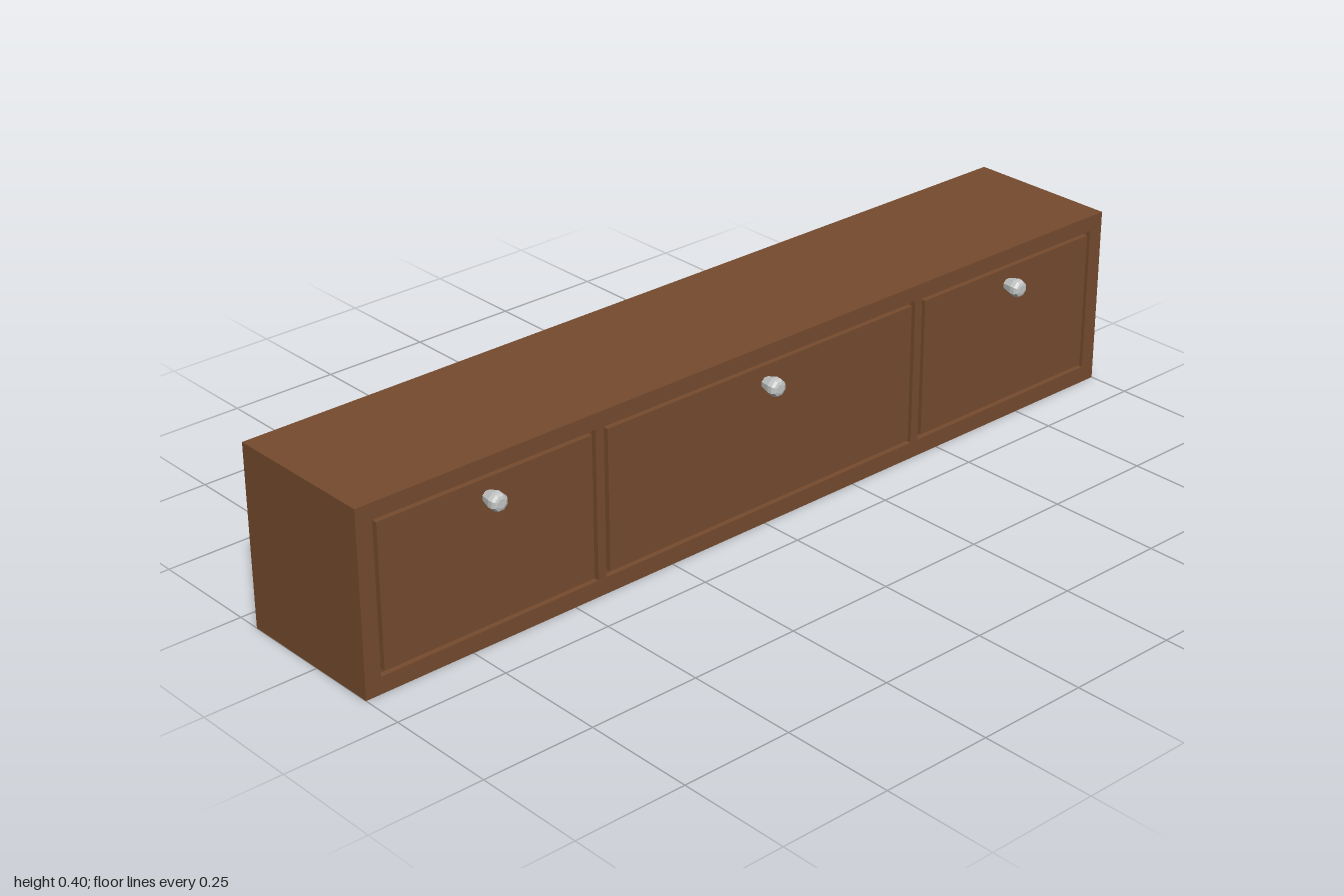
import * as THREE from 'three';

const W = 2, H = 0.4, BACK = -0.196, FRONT = 0.154;
const GAP = 0.009, GROOVE = 0.012; // groove width and depth around each drawer
const Y0 = 0.037, Y1 = 0.366;      // drawer opening, bottom and top
const KNOB_Y = 0.319;

// Box with its +z face left out; inward = true turns it into a recess
function openBox(w, h, d, inward = false) {
  const g = new THREE.BoxGeometry(w, h, d);
  const index = Array.from(g.index.array);
  index.splice(24, 6);
  if (inward) {
    index.reverse();
    const n = g.attributes.normal;
    for (let i = 0; i < n.count; i++) n.setXYZ(i, -n.getX(i), -n.getY(i), -n.getZ(i));
  }
  g.clearGroups();
  g.setIndex(index);
  return g;
}

function rectangle(path, x0, y0, x1, y1) {
  return path.moveTo(x0, y0).lineTo(x1, y0).lineTo(x1, y1).lineTo(x0, y1).closePath();
}

export function createModel() {
  const wood = new THREE.MeshStandardMaterial({ color: 0x754b2e });
  wood.name = 'brown wood';
  const metal = new THREE.MeshStandardMaterial({ color: 0xc6c8c8 });
  metal.name = 'light grey metal';
  metal.flatShading = true;

  const model = new THREE.Group();
  model.name = 'drawerUnit';
  const add = (parent, name, geometry, material, x, y, z) => {
    const mesh = new THREE.Mesh(geometry, material);
    mesh.name = name;
    mesh.position.set(x, y, z);
    parent.add(mesh);
    return mesh;
  };

  // Carcass: back, top, bottom and sides
  add(model, 'carcass', openBox(W, H, FRONT - BACK), wood, 0, H / 2, (FRONT + BACK) / 2);

  // Front frame with three drawer openings
  const face = new THREE.Shape();
  rectangle(face, -W / 2, 0, W / 2, H);
  const drawers = [
    ['rightDrawer', -0.964, -0.442],
    ['middleDrawer', -0.421, 0.421],
    ['leftDrawer', 0.442, 0.964],
  ];
  for (const [, x0, x1] of drawers) face.holes.push(rectangle(new THREE.Path(), x0, Y0, x1, Y1));
  add(model, 'frontFrame', new THREE.ShapeGeometry(face), wood, 0, 0, FRONT);

  // Faceted knob, widest near the tip
  const knob = new THREE.LatheGeometry(
    [[0.013, 0], [0.015, 0.007], [0.02, 0.024], [0.0195, 0.034], [0.016, 0.04], [0.01, 0.042], [0, 0.042]]
      .map(([r, y]) => new THREE.Vector2(r, y)), 8);
  knob.rotateX(Math.PI / 2);
  knob.rotateZ(Math.PI / 8);

  // Drawers: recess, flush front panel and knob
  for (const [name, x0, x1] of drawers) {
    const drawer = new THREE.Group();
    drawer.name = name;
    const x = (x0 + x1) / 2, y = (Y0 + Y1) / 2, w = x1 - x0, h = Y1 - Y0, z = FRONT - GROOVE / 2;
    add(drawer, 'groove', openBox(w, h, GROOVE, true), wood, x, y, z);
    add(drawer, 'drawerFront', new THREE.BoxGeometry(w - 2 * GAP, h - 2 * GAP, GROOVE), wood, x, y, z);
    add(drawer, 'knob', knob, metal, x, KNOB_Y, FRONT);
    model.add(drawer);
  }
  return model;
}
